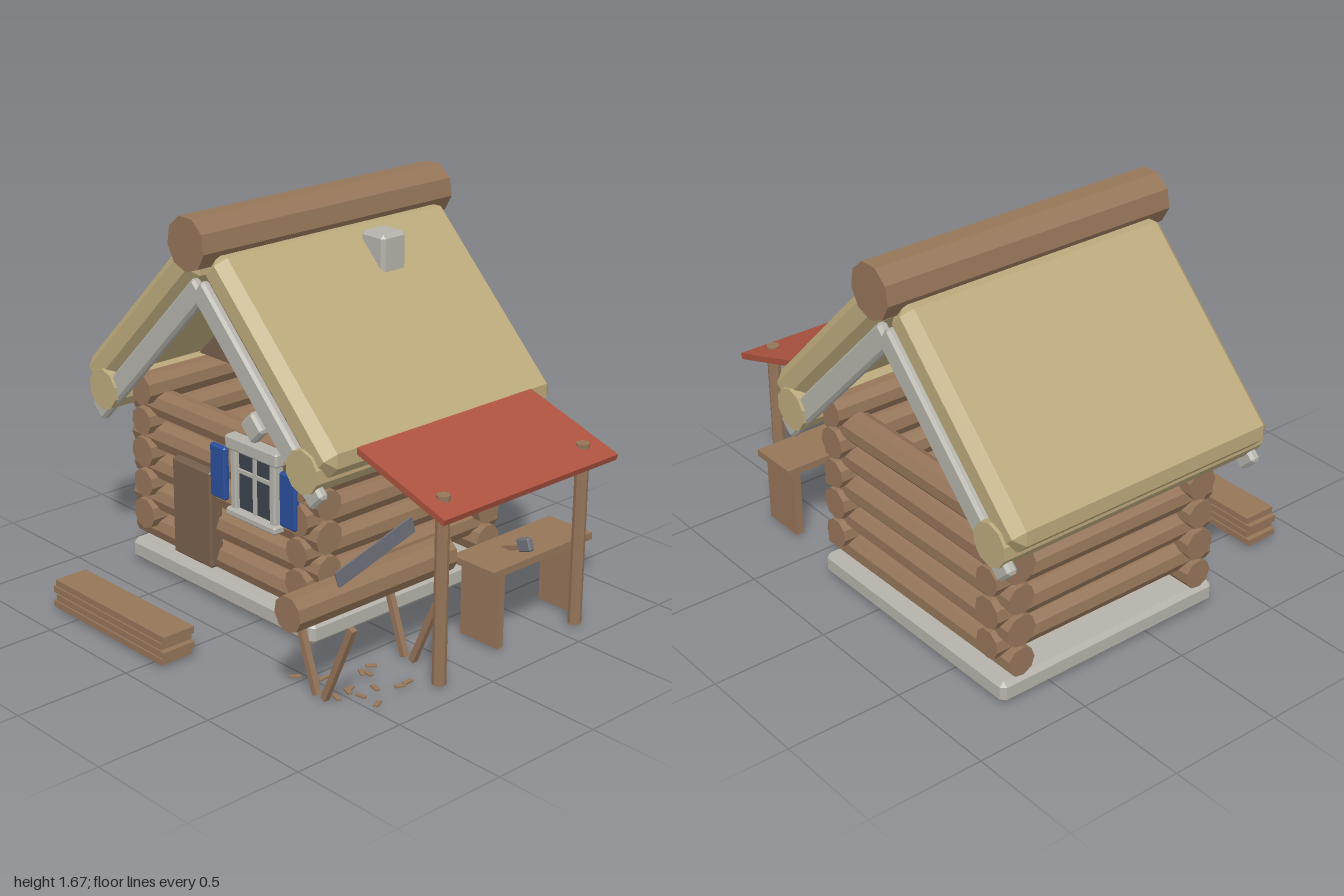
import * as THREE from 'three';
import { ConvexGeometry } from 'three/addons/geometries/ConvexGeometry.js';

const mat = (color) => new THREE.MeshStandardMaterial({ color, flatShading: true });
const wood = mat(0x957559), darkWood = mat(0x775f4b), thatch = mat(0xbcaa7c), stone = mat(0xb4b2aa);
const red = mat(0xab523e), blue = mat(0x2b4f9a), glass = mat(0x3c444d), steel = mat(0x70727a);

const CX = -0.237, CZ = -0.205; // centre of the cabin

// Box with every edge chamfered by c
function chamferBox(w, h, d, c) {
  const pts = [];
  for (const x of [-1, 1]) for (const y of [-1, 1]) for (const z of [-1, 1])
    for (const [a, b, e] of [[0, c, c], [c, 0, c], [c, c, 0]])
      pts.push(new THREE.Vector3(x * (w / 2 - a), y * (h / 2 - b), z * (d / 2 - e)));
  return new ConvexGeometry(pts);
}

export function createModel() {
  const model = new THREE.Group();
  model.name = 'logCabin';

  const add = (name, geo, material, x, y, z, parent = model) => {
    const m = new THREE.Mesh(geo, material);
    m.name = name;
    m.position.set(x, y, z);
    parent.add(m);
    return m;
  };
  const group = (name) => {
    const g = new THREE.Group();
    g.name = name;
    model.add(g);
    return g;
  };
  const box = (name, material, w, h, d, x, y, z, parent, c = 0) =>
    add(name, c ? chamferBox(w, h, d, c) : new THREE.BoxGeometry(w, h, d), material, x, y, z, parent);
  // Log lying along x or z, slightly tapered
  const log = (name, axis, r1, r2, len, x, y, z, parent, material = wood, sides = 9) => {
    const geo = new THREE.CylinderGeometry(r1, r2, len, sides);
    if (axis === 'x') geo.rotateZ(Math.PI / 2);
    else geo.rotateX(Math.PI / 2);
    return add(name, geo, material, x, y, z, parent);
  };
  // Square stick between two points in a plane of constant z
  const stick = (name, x1, y1, x2, y2, z, t, parent) => {
    const m = box(name, wood, t, Math.hypot(x2 - x1, y2 - y1), t, (x1 + x2) / 2, (y1 + y2) / 2, z, parent);
    m.rotation.z = -Math.atan2(x2 - x1, y2 - y1);
  };

  // Stone base
  box('base', stone, 1.165, 0.095, 1.09, CX, 0.067, CZ, model, 0.02);

  // Log walls, crossing at the corners
  const walls = group('walls');
  for (let i = 0; i < 5; i++) {
    const flip = i % 2 ? 1 : -1, a = 0.066 + 0.003 * flip, b = 0.066 - 0.003 * flip;
    for (const s of [-1, 1]) {
      log('crossLog', 'x', a, b, 1.165, CX, 0.183 + i * 0.14, CZ + s * 0.455, walls);
      log('sideLog', 'z', b, a, 1.09, CX + s * 0.488, 0.255 + i * 0.14, CZ, walls);
    }
  }

  // Recessed gable wall under the roof
  const tri = new THREE.Shape([[-0.55, 0.88], [0.55, 0.88], [0, 1.42]].map((p) => new THREE.Vector2(...p)));
  const gable = new THREE.ExtrudeGeometry(tri, { depth: 0.35, bevelEnabled: false });
  add('gable', gable, darkWood, CX, 0, CZ - 0.175);

  // Roof slabs, eave logs and barge boards, mirrored about the ridge
  const roof = group('roof');
  for (const s of [-1, 1]) {
    const slab = box('roofSlab', thatch, 0.97, 0.155, 1.25, CX + s * 0.397, 1.16, CZ, roof, 0.043);
    slab.rotation.z = -s * Math.PI / 4;
    log('eaveLog', 'z', 0.09, 0.09, 1.28, CX + s * 0.625, 0.803, CZ, roof, thatch, 10);
    for (const e of [-1, 1]) {
      const board = box('bargeBoard', stone, 0.99, 0.1, 0.045, CX + s * 0.343, 1.035, CZ + e * 0.605, roof, 0.012);
      board.rotation.z = -s * Math.PI / 4;
    }
  }
  log('ridgeLog', 'z', 0.113, 0.113, 1.35, CX, 1.57, CZ, roof);
  box('chimney', stone, 0.135, 0.34, 0.135, -0.005, 1.35, -0.365, roof, 0.015);

  // Door
  box('door', darkWood, 0.25, 0.43, 0.07, -0.395, 0.363, 0.31, model, 0.01);

  // Window with shutters and a diamond ornament
  const win = group('window');
  box('pane', glass, 0.24, 0.27, 0.03, 0, 0.6, 0.315, win);
  for (const s of [-1, 1]) {
    box('windowJamb', stone, 0.035, 0.27, 0.05, s * 0.118, 0.6, 0.325, win, 0.006);
    box('shutter', blue, 0.095, 0.23, 0.03, s * 0.212, 0.603, 0.34, win, 0.008);
  }
  box('windowHeader', stone, 0.315, 0.06, 0.06, 0, 0.755, 0.33, win, 0.008);
  box('windowSill', stone, 0.3, 0.035, 0.07, 0, 0.458, 0.33, win, 0.008);
  box('mullion', stone, 0.016, 0.26, 0.02, 0, 0.6, 0.33, win);
  box('transom', stone, 0.22, 0.016, 0.02, 0, 0.64, 0.33, win);
  box('ornament', stone, 0.1, 0.1, 0.05, 0, 0.85, 0.33, win, 0.012).rotation.z = Math.PI / 4;

  // Lean-to canopy on two posts
  const shed = group('canopy');
  box('canopyRoof', red, 0.5, 0.026, 0.97, 0.75, 0.818, -0.207, shed).rotation.z = -0.31;
  for (const z of [0.185, -0.595]) {
    add('post', new THREE.CylinderGeometry(0.028, 0.028, 0.78, 8), wood, 0.892, 0.41, z, shed);
  }

  // Workbench with panel legs and a mallet on top
  const bench = group('workbench');
  box('benchTop', wood, 0.23, 0.03, 0.58, 0.735, 0.348, -0.44, bench);
  for (const z of [-0.203, -0.672]) box('benchLeg', wood, 0.2, 0.315, 0.035, 0.745, 0.177, z, bench);
  const mallet = new THREE.Group();
  mallet.name = 'mallet';
  mallet.position.set(0.82, 0.41, -0.36);
  mallet.rotation.z = 0.35;
  bench.add(mallet);
  box('malletHead', steel, 0.07, 0.055, 0.03, 0, 0, 0, mallet, 0.006);
  box('malletHandle', wood, 0.14, 0.018, 0.018, -0.06, -0.01, 0, mallet);

  // Log on trestles with a saw in it
  const trestle = group('trestle');
  log('sawLog', 'z', 0.073, 0.073, 0.82, 0.657, 0.41, 0.335, trestle);
  for (const z of [0.575, 0.11]) {
    stick('trestleLeg', 0.5, 0.375, 0.63, 0.01, z, 0.026, trestle);
    stick('trestleLeg', 0.825, 0.355, 0.675, 0.01, z, 0.026, trestle);
  }
  box('sawBlade', steel, 0.006, 0.07, 0.41, 0.697, 0.55, 0.34, trestle).rotation.x = 0.28;

  // Pile of planks in front
  const planks = group('planks');
  for (let i = 0; i < 4; i++) {
    box('plank', wood, 0.71, 0.028, 0.15, -0.275 + (i % 2 ? 0.01 : -0.008), 0.036 + i * 0.033, 0.805, planks);
  }

  // Wood chips scattered under the trestle
  const chips = group('chips');
  let seed = 7;
  const rnd = () => (seed = (seed * 16807) % 2147483647) / 2147483647;
  for (let i = 0; i < 14; i++) {
    const x = 0.48 + rnd() * 0.4, z = 0.22 + rnd() * 0.36;
    box('chip', wood, 0.045, 0.007, 0.018, x, 0.02, z, chips).rotation.y = rnd() * Math.PI;
  }
  return model;
}
